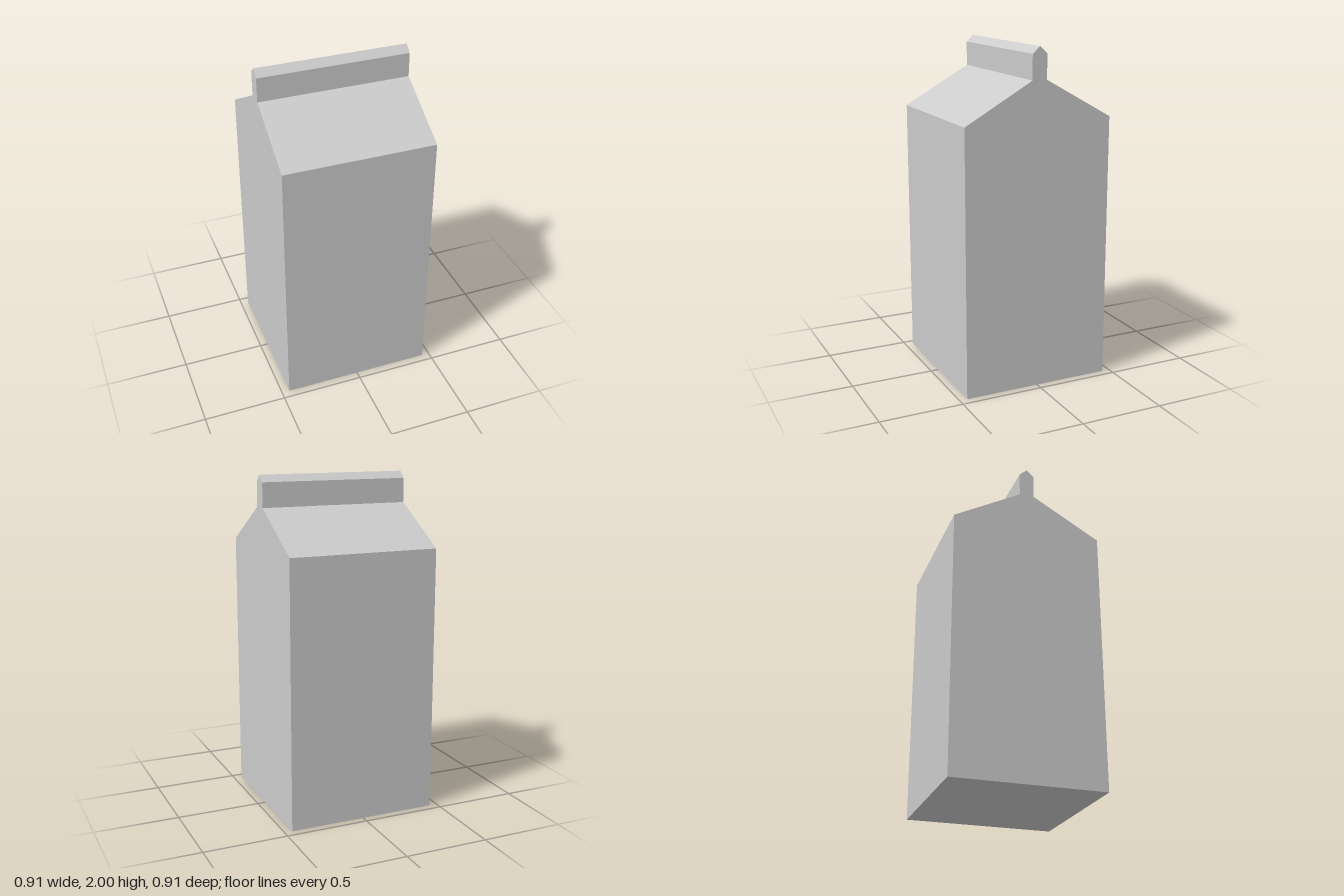
import * as THREE from 'three';

const WIDTH = 0.906;

// Right half of the end profile: [distance from centre plane, height]
const HALF_PROFILE = [
  [0.453, 0],      // base
  [0.453, 1.585],  // shoulder
  [0.045, 1.815],  // foot of the sealed ridge
  [0.045, 1.96],   // top of the ridge side
];
const PEAK = [0, 2];

export function createModel() {
  const group = new THREE.Group();
  group.name = 'gableTopCarton';

  // Mirror the half profile about the centre plane
  const mirrored = HALF_PROFILE.map(([d, y]) => [-d, y]).reverse();
  const outline = [...HALF_PROFILE, PEAK, ...mirrored];
  const shape = new THREE.Shape(outline.map(([d, y]) => new THREE.Vector2(d, y)));

  // Body, sloped roof and ridge are one closed prism running along x
  const geometry = new THREE.ExtrudeGeometry(shape, { depth: WIDTH, bevelEnabled: false });
  geometry.translate(0, 0, -WIDTH / 2);
  geometry.rotateY(Math.PI / 2);

  const material = new THREE.MeshStandardMaterial({ color: 0xcccccc, flatShading: true });
  const carton = new THREE.Mesh(geometry, material);
  carton.name = 'cartonBodyAndRoof';
  group.add(carton);

  return group;
}
